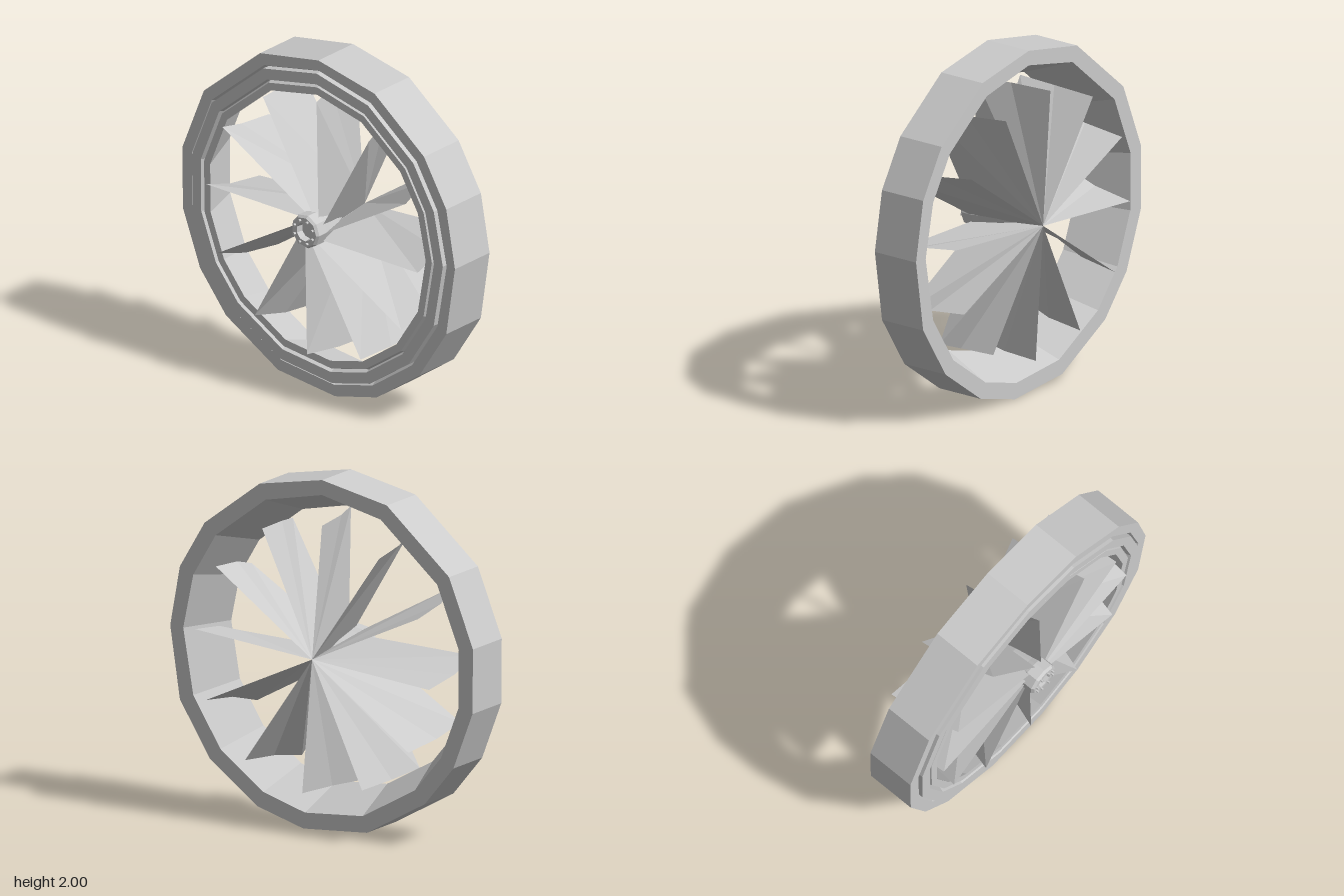
import * as THREE from 'three';

const grey = () => new THREE.MeshStandardMaterial({ color: 0xcccccc, flatShading: true });
const toPoints = (list) => list.map(([r, x]) => new THREE.Vector2(r, x));

// Lathed part whose axis lies along x
function lathed(name, profile, sides) {
  const geo = new THREE.LatheGeometry(toPoints(profile), sides);
  geo.rotateZ(-Math.PI / 2);
  const mesh = new THREE.Mesh(geo, grey());
  mesh.name = name;
  return mesh;
}

// Outer duct: stepped profile (radius, x) with unevenly spaced corners
function makeRing() {
  const profile = [
    [0.915, 0.16], [0.795, -0.14], [0.84, -0.14], [0.85, -0.115], [0.86, -0.145],
    [0.925, -0.145], [0.925, -0.10], [0.94, -0.13], [1.01, -0.13], [1.01, 0.16], [0.915, 0.16],
  ];
  const corners = [0, 25, 56, 80, 101, 121, 138, 163, 187, 205, 227, 248, 272, 292, 310, 336, 360];
  const ring = lathed('outerRing', profile, 16);
  const pos = ring.geometry.attributes.position;
  const n = profile.length;
  for (let i = 0; i <= 16; i++) {
    const a = THREE.MathUtils.degToRad(corners[16 - i]);
    for (let j = 0; j < n; j++) {
      const [r, x] = profile[j];
      const y = THREE.MathUtils.clamp(r * Math.cos(a), -1, 1);
      const z = THREE.MathUtils.clamp(-r * Math.sin(a), -1, 1);
      pos.setXYZ(i * n + j, x, y, z);
    }
  }
  ring.geometry.computeVertexNormals();
  return ring;
}

// Thin folded blade pointing up, creased from the front apex to the tip
function makeBladeGeometry() {
  const apex = [0.26, 0, 0];
  const tipFront = [0.26, 0.77, -0.065];
  const tipCrease = [0.01, 0.775, -0.03];
  const tipBack = [-0.185, 0.775, 0.035];
  const rootBack = [-0.185, 0, 0.05];
  const geo = new THREE.BufferGeometry();
  const corners = [
    apex, tipFront, tipCrease,
    apex, tipCrease, tipBack,
    apex, tipBack, rootBack,
  ];
  geo.setAttribute('position', new THREE.Float32BufferAttribute(corners.flat(), 3));
  geo.computeVertexNormals();
  return geo;
}

export function createModel() {
  const model = new THREE.Group();
  model.name = 'ductedFan';
  const rotor = new THREE.Group();
  rotor.name = 'rotor';
  rotor.position.y = 1;
  model.add(rotor);

  rotor.add(makeRing());

  // Twelve blades around the axis
  const bladeGeo = makeBladeGeometry();
  const bladeMat = grey();
  bladeMat.side = THREE.DoubleSide;
  for (let i = 0; i < 12; i++) {
    const blade = new THREE.Mesh(bladeGeo, bladeMat);
    blade.name = 'blade';
    blade.rotation.x = -i * Math.PI / 6;
    rotor.add(blade);
  }

  // Hub tapering forward, with a recessed rear face
  rotor.add(lathed('hub', [
    [0, -0.21], [0.05, -0.21], [0.055, -0.25], [0.088, -0.25], [0.1, -0.235],
    [0.1, -0.17], [0.085, -0.13], [0.055, -0.02], [0, 0.1],
  ], 9));

  // Small bolts on the rear face of the hub
  const boltGeo = new THREE.CylinderGeometry(0.008, 0.008, 0.02, 6);
  boltGeo.rotateZ(Math.PI / 2);
  for (let i = 0; i < 8; i++) {
    const a = (i + 0.5) * Math.PI / 4;
    const bolt = new THREE.Mesh(boltGeo, grey());
    bolt.name = 'hubBolt';
    bolt.position.set(-0.255, 0.07 * Math.cos(a), 0.07 * Math.sin(a));
    rotor.add(bolt);
  }
  return model;
}
